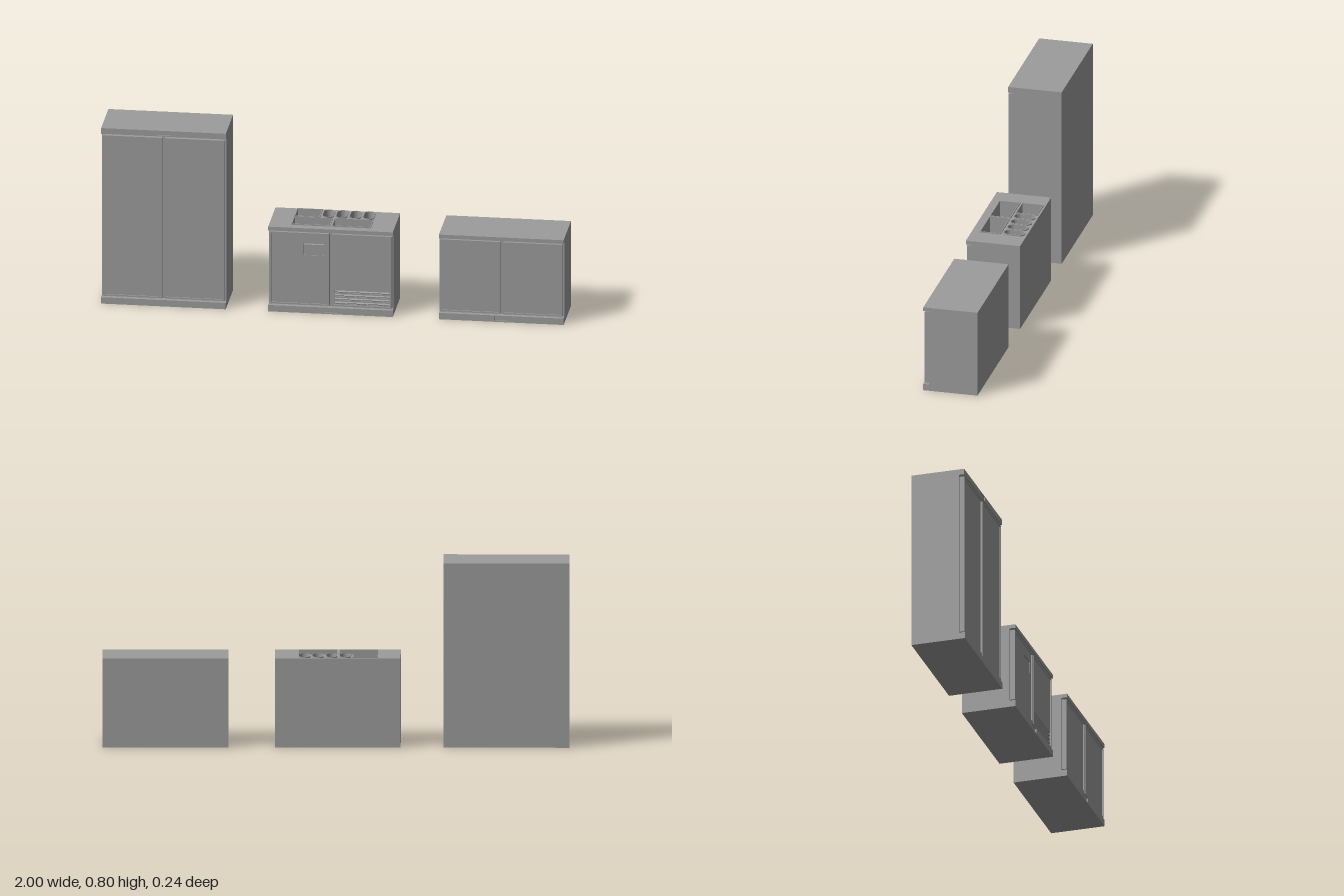
import * as THREE from 'three';

const mat = new THREE.MeshStandardMaterial({ color: 0x9c9c9c, flatShading: true });
const BACK = -0.12, BODY = 0.095, LIP = 0.12, W = 0.539, H = W / 2;
const PLINTH_TOP = 0.029, DOOR_BOTTOM = 0.035;

function add(parent, name, geometry) {
  const mesh = new THREE.Mesh(geometry, mat);
  mesh.name = name;
  parent.add(mesh);
  return mesh;
}

// Box given by its minimum and maximum corners
function box(parent, name, x0, x1, y0, y1, z0, z1) {
  const mesh = add(parent, name, new THREE.BoxGeometry(x1 - x0, y1 - y0, z1 - z0));
  mesh.position.set((x0 + x1) / 2, (y0 + y1) / 2, (z0 + z1) / 2);
  return mesh;
}

function rectPath(path, x0, x1, y0, y1) {
  path.moveTo(x0, y0);
  path.lineTo(x1, y0);
  path.lineTo(x1, y1);
  path.lineTo(x0, y1);
  path.closePath();
  return path;
}

// Upright slot with round ends
function slotPath(path, cx, y0, y1, r) {
  path.absarc(cx, y1 - r, r, 0, Math.PI, false);
  path.absarc(cx, y0 + r, r, Math.PI, 2 * Math.PI, false);
  path.closePath();
  return path;
}

// Upright plate with holes, facing +z
function plate(parent, name, shape, holes, z0, z1) {
  shape.holes.push(...holes);
  const geo = new THREE.ExtrudeGeometry(shape, { depth: z1 - z0, bevelEnabled: false, curveSegments: 10 });
  const mesh = add(parent, name, geo);
  mesh.position.z = z0;
  return mesh;
}

const rectShape = (...rect) => rectPath(new THREE.Shape(), ...rect);
const rectHole = (...rect) => rectPath(new THREE.Path(), ...rect);

// Horizontal slab with holes; outlines are drawn in x and -z
function slab(parent, name, shape, holes, y0, y1) {
  const mesh = plate(parent, name, shape, holes, 0, y1 - y0);
  mesh.rotation.x = -Math.PI / 2;
  mesh.position.y = y0;
}

// Door: thin raised frame around a sunken panel, with hinge pins on the outer side
function door(parent, name, side, top, holes = []) {
  const g = new THREE.Group();
  g.name = name;
  parent.add(g);
  const f = 0.007, y0 = DOOR_BOTTOM;
  const [x0, x1] = side > 0 ? [0.006, 0.264] : [-0.264, -0.006];
  const inner = [x0 + f, x1 - f, y0 + f, top - f];
  plate(g, 'doorFrame', rectShape(x0, x1, y0, top), [rectHole(...inner)], BODY, 0.116);
  plate(g, 'doorPanel', rectShape(...inner), holes, BODY, 0.111);
  for (const y of [y0 - 0.003, top + 0.003]) {
    const pin = add(g, 'hingePin', new THREE.CylinderGeometry(0.002, 0.002, 0.008, 8));
    pin.position.set(side * 0.258, y, 0.103);
  }
}

// Plinth or header with a shallow latch recess in the middle of its front
function latchedLip(parent, name, y0, y1, zFront) {
  const latch = [-0.031, 0.031, y0 + 0.005, y1 - 0.003];
  plate(parent, name, rectShape(-H, H, y0, y1), [rectHole(...latch)], BODY, zFront);
  box(parent, 'latchPlate', ...latch, BODY, zFront - 0.006);
}

function cabinet(name, x, bodyTop) {
  const g = new THREE.Group();
  g.name = name;
  g.position.x = x;
  box(g, 'body', -H, H, 0, bodyTop, BACK, BODY);
  return g;
}

function tallCabinet() {
  const g = cabinet('tallCabinet', -0.7305, 0.801);
  latchedLip(g, 'header', 0.775, 0.801, 0.117);
  box(g, 'plinth', -H, H, 0, PLINTH_TOP, BODY, LIP);
  door(g, 'leftDoor', 1, 0.768);
  door(g, 'rightDoor', -1, 0.768);
  return g;
}

function lowCabinet() {
  const g = cabinet('lowCabinet', 0.7305, 0.37);
  box(g, 'counter', -H, H, 0.37, 0.387, BACK, LIP);
  latchedLip(g, 'plinth', 0, PLINTH_TOP, LIP);
  door(g, 'leftDoor', 1, 0.364);
  door(g, 'rightDoor', -1, 0.364);
  return g;
}

function basinCabinet() {
  const g = cabinet('basinCabinet', -0.008, 0.27);

  // Well outlines, each drawn on a given path and grown by e
  const rectWell = (x0, x1, y0, y1) => (path, e) => rectPath(path, x0 - e, x1 + e, y0 - e, y1 + e);
  const wells = [
    rectWell(-0.171, -0.067, 0.019, 0.108),
    rectWell(-0.171, -0.009, -0.081, 0.005),
    rectWell(0.004, 0.166, -0.081, 0.005),
  ];
  for (let i = 0; i < 4; i++) {
    wells.push((path, e) => slotPath(path, -0.032 + i * 0.0585, 0.019 - e, 0.108 + e, 0.0225 + e));
  }
  const holes = wells.map((well) => well(new THREE.Path(), 0));

  // Wells cut through the upper body and counter, each with a raised rim
  slab(g, 'upperBody', rectShape(-H, H, -BODY, -BACK), holes, 0.27, 0.37);
  slab(g, 'counter', rectShape(-H, H, -LIP, -BACK), holes, 0.37, 0.387);
  wells.forEach((well, i) => slab(g, 'wellRim', well(new THREE.Shape(), 0.003), [holes[i]], 0.387, 0.392));
  latchedLip(g, 'plinth', 0, PLINTH_TOP, LIP);

  // Solid door with a hatch that is open along its top
  door(g, 'rightDoor', -1, 0.364, [rectHole(-0.117, -0.029, 0.262, 0.315)]);
  box(g, 'hatchFlap', -0.117, -0.029, 0.262, 0.309, BODY, 0.108);

  // Door with louvres at the bottom
  const vents = [];
  for (let i = 0; i < 4; i++) {
    const y = 0.046 + i * 0.017;
    vents.push(rectHole(0.015, 0.255, y, y + 0.01));
    const slat = add(g, 'louvre', new THREE.BoxGeometry(0.24, 0.003, 0.012));
    slat.position.set(0.135, y + 0.005, 0.104);
    slat.rotation.x = 0.5;
  }
  door(g, 'leftDoor', 1, 0.364, vents);
  return g;
}

export function createModel() {
  const model = new THREE.Group();
  model.name = 'cabinetSet';
  model.add(tallCabinet(), basinCabinet(), lowCabinet());
  return model;
}
